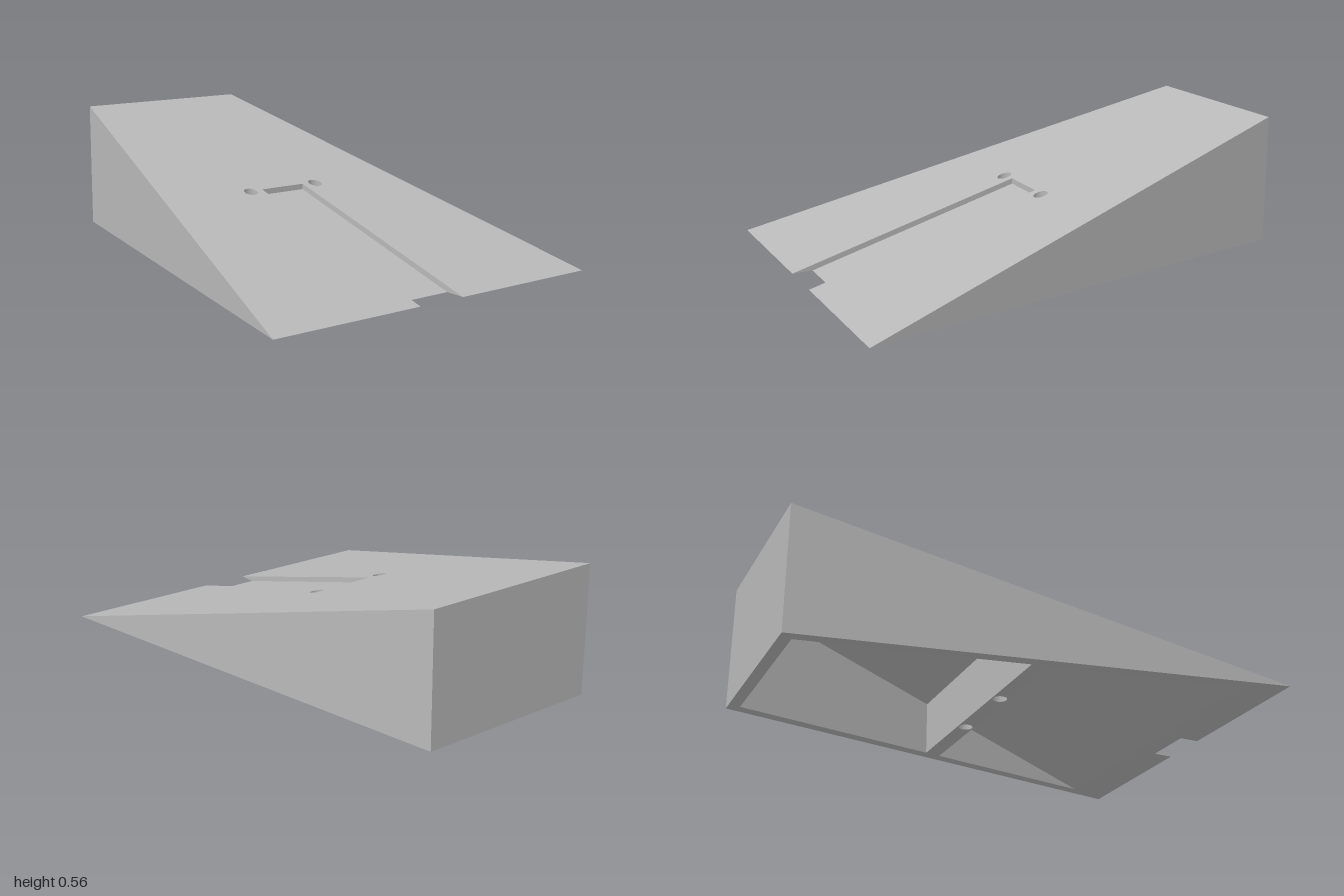
import * as THREE from 'three';

// Main dimensions
const SLOPE = 0.2775;            // ramp fall per unit of x
const SLOT_X = -0.01, SLOT_END = 0.914, SLOT_W = 0.108;
const CAVITY_END = 0.822;        // where the underside ceiling meets the base
const WALL = 0.05;
const HOLE_X = -0.003, HOLE_Z = 0.171, HOLE_R = 0.03;

const ramp = x => SLOPE * (1 - x);
const slotFloor = x => Math.max(0, SLOPE * (SLOT_END - x));
const ceiling = x => Math.max(0, SLOPE * (CAVITY_END - x));
const ground = () => 0;
const halfWidth = x => 0.59 + 0.19 * x;

// Loop of [x, z] points around a tapered hollow
function taperedLoop(x0, x1, inset) {
  const a = halfWidth(x0) - inset, b = halfWidth(x1) - inset;
  return [[x0, -a], [x1, -b], [x1, b], [x0, a]];
}

function circleLoop(z) {
  return Array.from({ length: 32 }, (_, i) => {
    const t = i / 32 * Math.PI * 2;
    return [HOLE_X + HOLE_R * Math.cos(t), z + HOLE_R * Math.sin(t)];
  });
}

// Flat panel cut from an outline and laid on a height rule
function panel(outline, holes, height, faceDown) {
  const vec = ([x, z]) => new THREE.Vector2(x, -z);
  const shape = new THREE.Shape(outline.map(vec));
  holes.forEach(h => shape.holes.push(new THREE.Path(h.map(vec))));
  const geo = new THREE.ShapeGeometry(shape).rotateX(-Math.PI / 2);
  const p = geo.attributes.position;
  for (let i = 0; i < p.count; i++) p.setY(i, height(p.getX(i)));
  if (faceDown) geo.index.array.reverse();
  const flat = geo.toNonIndexed();
  flat.computeVertexNormals();
  return flat;
}

// Upright walls along a path, between two height rules
function walls(path, low, high, closed = true) {
  const pos = [];
  const n = closed ? path.length : path.length - 1;
  for (let i = 0; i < n; i++) {
    const [ax, az] = path[i], [bx, bz] = path[(i + 1) % path.length];
    const a0 = [ax, low(ax), az], a1 = [ax, high(ax), az];
    const b0 = [bx, low(bx), bz], b1 = [bx, high(bx), bz];
    if (b1[1] - b0[1] > 1e-6) pos.push(...a0, ...b0, ...b1);
    if (a1[1] - a0[1] > 1e-6) pos.push(...a0, ...b1, ...a1);
  }
  const geo = new THREE.BufferGeometry();
  geo.setAttribute('position', new THREE.Float32BufferAttribute(pos, 3));
  geo.computeVertexNormals();
  return geo;
}

export function createModel() {
  const model = new THREE.Group();
  model.name = 'wedge';
  const grey = new THREE.MeshStandardMaterial({ color: 0xb8b8b8 });
  grey.name = 'grey';
  const add = (name, geo) => {
    const mesh = new THREE.Mesh(geo, grey);
    mesh.name = name;
    model.add(mesh);
  };

  // Outline with a notch reaching in from the thin end
  const notched = x => [
    [-1, 0.4], [1, 0.78], [1, SLOT_W], [x, SLOT_W],
    [x, -SLOT_W], [1, -SLOT_W], [1, -0.78], [-1, -0.4],
  ];
  const holes = [circleLoop(HOLE_Z), circleLoop(-HOLE_Z)];
  const cavities = [
    taperedLoop(-1 + WALL, -0.038, WALL),
    taperedLoop(0.032, CAVITY_END, WALL),
  ];

  // Outer shell
  add('rampSurface', panel(notched(SLOT_X), holes, ramp, false));
  add('baseRim', panel(notched(SLOT_END), [...holes, ...cavities], ground, true));
  add('outerWalls', walls(taperedLoop(-1, 1, 0).reverse(), ground, ramp));

  // Shallow slot sunk into the ramp
  add('slotFloor', panel([
    [SLOT_X, SLOT_W], [SLOT_END, SLOT_W], [SLOT_END, -SLOT_W], [SLOT_X, -SLOT_W],
  ], [], slotFloor, false));
  add('slotWalls', walls([
    [1, SLOT_W], [SLOT_END, SLOT_W], [SLOT_X, SLOT_W],
    [SLOT_X, -SLOT_W], [SLOT_END, -SLOT_W], [1, -SLOT_W],
  ], slotFloor, ramp, false));

  // Hollows underneath, either side of the cross rib
  cavities.forEach((loop, i) => {
    const name = i ? 'frontCavity' : 'rearCavity';
    add(name + 'Ceiling', panel(loop, [], ceiling, true));
    add(name + 'Walls', walls(loop, ground, ceiling));
  });

  // Screw holes through the rib
  holes.forEach((loop, i) => add(i ? 'rightHole' : 'leftHole', walls(loop, ground, ramp)));

  return model;
}
